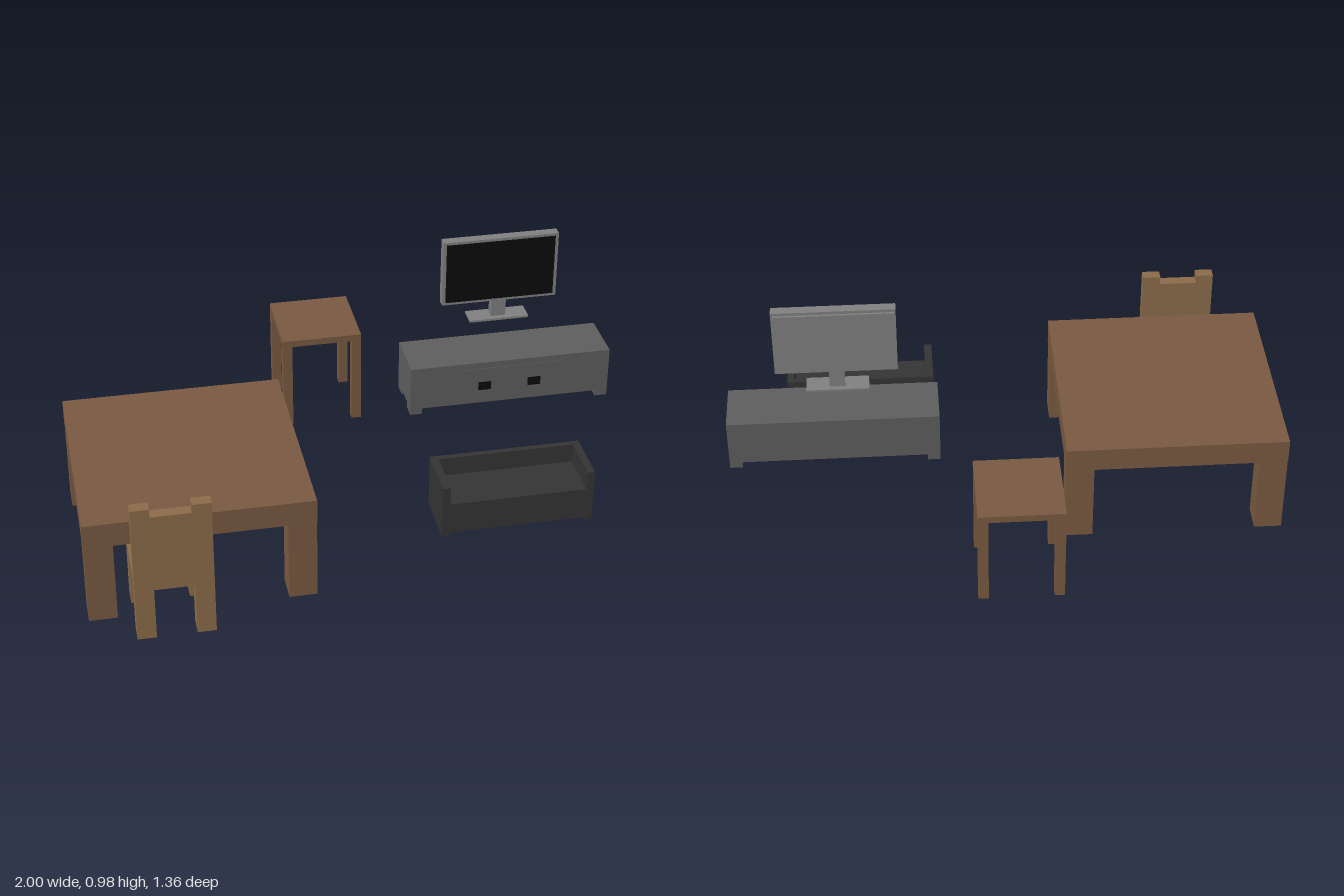
import * as THREE from 'three';

const mat = (color) => new THREE.MeshStandardMaterial({ color });
const tableWood = mat(0x7a5a42), chairWood = mat(0x8c6c4a), cabinetGrey = mat(0x5e5e5e);
const sofaGrey = mat(0x343434), metal = mat(0x808080), black = mat(0x0b0b0b);

// Box given by its extents along each axis
function box(parent, name, material, [x0, x1], [y0, y1], [z0, z1]) {
  const mesh = new THREE.Mesh(new THREE.BoxGeometry(x1 - x0, y1 - y0, z1 - z0), material);
  mesh.position.set((x0 + x1) / 2, (y0 + y1) / 2, (z0 + z1) / 2);
  mesh.name = name;
  parent.add(mesh);
}

// Four legs in the corners of a rectangle
function legs(parent, name, material, [x0, x1], y, [z0, z1], w, d) {
  for (const x of [x0, x1 - w]) {
    for (const z of [z0, z1 - d]) box(parent, name, material, [x, x + w], y, [z, z + d]);
  }
}

function section(parent, name) {
  const g = new THREE.Group();
  g.name = name;
  parent.add(g);
  return g;
}

export function createModel() {
  const root = new THREE.Group();
  root.name = 'furnitureSet';

  // Large square table
  const table = section(root, 'diningTable');
  box(table, 'tableTop', tableWood, [-1, -0.198], [0.317, 0.408], [-0.248, 0.555]);
  legs(table, 'tableLeg', tableWood, [-0.999, -0.199], [0.01, 0.317], [-0.247, 0.554], 0.1, 0.1);

  // Chair with its back towards the front
  const chair = section(root, 'chair');
  box(chair, 'seat', chairWood, [-0.845, -0.573], [0.204, 0.248], [0.405, 0.636]);
  box(chair, 'backrest', chairWood, [-0.78, -0.64], [0.204, 0.503], [0.636, 0.678]);
  for (const x of [-0.845, -0.64]) {
    const w = x < -0.7 ? 0.065 : 0.067;
    box(chair, 'backPost', chairWood, [x, x + w], [0.204, 0.535], [0.636, 0.678]);
  }
  legs(chair, 'chairLeg', chairWood, [-0.845, -0.573], [0.003, 0.204], [0.405, 0.678], 0.066, 0.068);

  // Small side table
  const side = section(root, 'sideTable');
  box(side, 'sideTableTop', tableWood, [-0.157, 0.144], [0.463, 0.489], [-0.678, -0.376]);
  legs(side, 'sideTableLeg', tableWood, [-0.157, 0.144], [0.118, 0.463], [-0.678, -0.376], 0.036, 0.036);

  // Low cabinet with two doors
  const cabinet = section(root, 'cabinet');
  box(cabinet, 'cabinetBody', cabinetGrey, [0.25, 1], [0.378, 0.548], [-0.194, 0.008]);
  legs(cabinet, 'cabinetFoot', cabinetGrey, [0.25, 1], [0.355, 0.378], [-0.194, 0.008], 0.045, 0.051);
  [[0.433, 0.622, 0.528], [0.624, 0.813, 0.715]].forEach(([x0, x1, c]) => {
    box(cabinet, 'door', cabinetGrey, [x0, x1], [0.38, 0.524], [0.006, 0.01]);
    box(cabinet, 'doorHandle', black, [c - 0.024, c + 0.024], [0.434, 0.467], [0.008, 0.012]);
  });

  // Sofa facing the front
  const sofa = section(root, 'sofa');
  box(sofa, 'sofaBack', sofaGrey, [0.285, 0.78], [0.165, 0.357], [0.294, 0.316]);
  box(sofa, 'sofaSeat', sofaGrey, [0.285, 0.78], [0.165, 0.285], [0.316, 0.496]);
  box(sofa, 'sofaArm', sofaGrey, [0.257, 0.285], [0.155, 0.357], [0.294, 0.5]);
  box(sofa, 'sofaArm', sofaGrey, [0.78, 0.806], [0.155, 0.357], [0.294, 0.5]);

  // Flat television on a stand
  const tv = section(root, 'television');
  box(tv, 'tvFrame', metal, [0.39, 0.817], [0.732, 0.987], [-0.152, -0.116]);
  box(tv, 'tvBack', metal, [0.397, 0.81], [0.743, 0.976], [-0.16, -0.152]);
  box(tv, 'screen', black, [0.402, 0.805], [0.742, 0.977], [-0.118, -0.114]);
  box(tv, 'tvNeck', metal, [0.576, 0.63], [0.668, 0.735], [-0.152, -0.116]);
  box(tv, 'tvBase', metal, [0.492, 0.712], [0.66, 0.668], [-0.17, -0.096]);

  return root;
}
